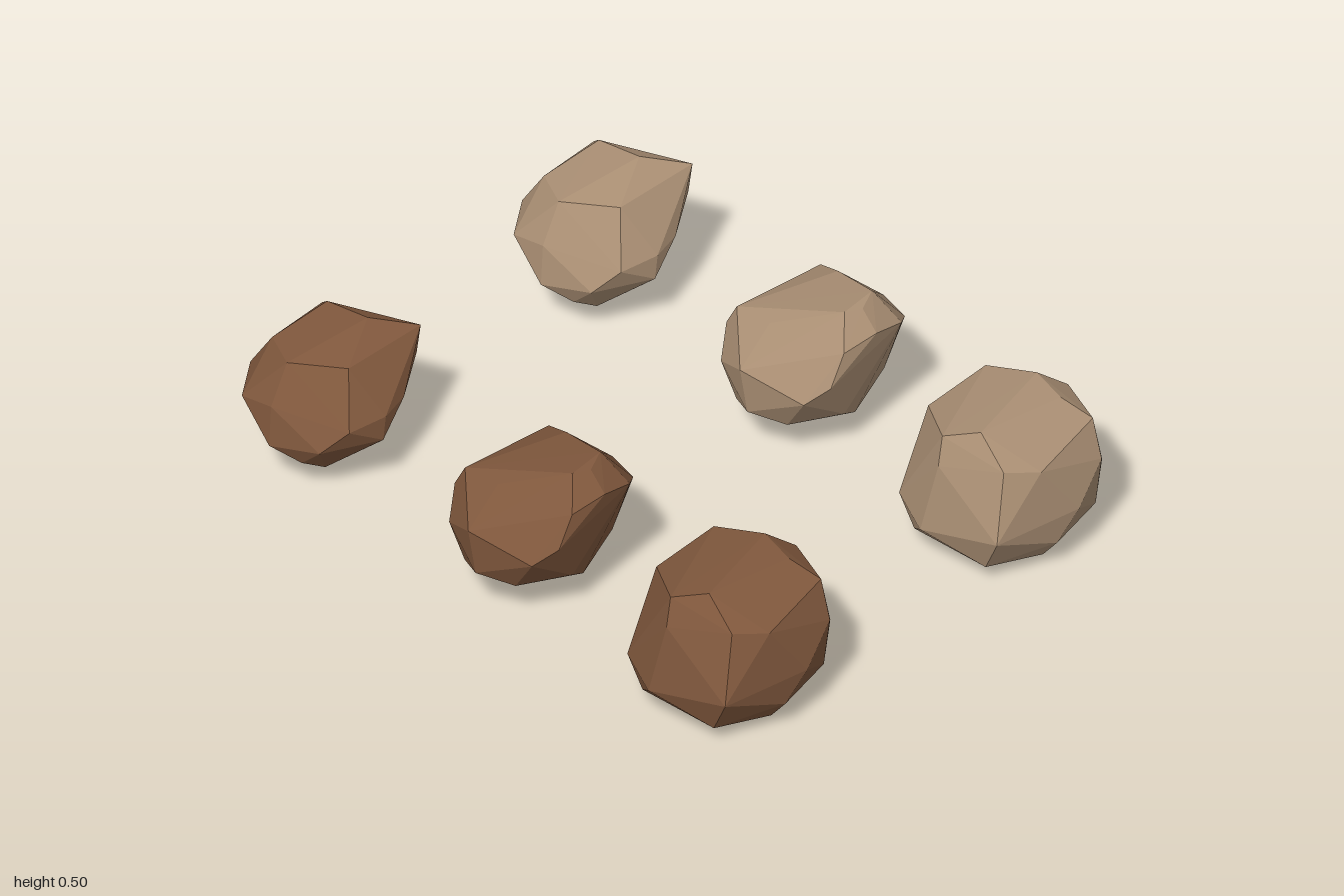
import * as THREE from 'three';
import { ConvexGeometry } from 'three/addons/geometries/ConvexGeometry.js';

// Corner points [x, y, z] of the three faceted boulders, in the front row
const ROCKS = {
  roundRock: [
    [-.63, .43, .335], [-.72, .467, .45], [-.88, .435, .45], [-.95, .365, .40], [-1, .26, .49],
    [-.985, .27, .64], [-.975, .17, .5], [-.91, .25, .745], [-.78, .16, .767], [-.79, .28, .75],
    [-.62, .2, .73], [-.565, .27, .67], [-.545, .275, .55], [-.545, .2, .56], [-.57, .28, .457],
    [-.708, .26, .275], [-.815, .25, .28], [-.94, .2, .37], [-.61, .13, .5], [-.72, .045, .5],
    [-.9, .067, .5], [-.87, .09, .67], [-.67, .09, .66], [-.72, .1, .35], [-.8, .39, .68],
    [-.64, .415, .6], [-.92, .38, .62], [-.87, .12, .36], [-.7, .12, .72],
  ],
  slopedRock: [
    [-.18, .27, .58], [-.15, .33, .67], [-.12, .395, .66], [-.1, .39, .36], [-.13, .28, .35],
    [.01, .45, .4], [.035, .3, .25], [.18, .495, .435], [.21, .485, .5], [.19, .488, .55],
    [.01, .41, .66], [.265, .43, .5], [.25, .41, .61], [.25, .4, .39], [.18, .34, .31],
    [.255, .32, .665], [.21, .27, .725], [.02, .318, .783], [-.11, .25, .73], [-.15, .18, .6],
    [.2, .147, .56], [.18, .11, .5], [0, .056, .63], [-.1, .11, .55], [.1, .08, .45],
    [.05, .15, .29], [-.1, .15, .38], [.15, .17, .36], [-.08, .12, .7], [.12, .14, .7],
    [.03, .17, .765],
  ],
  blockyRock: [
    [.51, .2, .5], [.525, .36, .4], [.57, .425, .38], [.735, .473, .345], [.845, .456, .36],
    [.93, .41, .32], [.965, .365, .55], [1, .2, .44], [.975, .1, .5], [.92, .03, .5],
    [.815, 0, .55], [.675, .013, .55], [.535, .056, .45], [.585, .3, .255], [.765, .4, .255],
    [.93, .25, .285], [.975, .3, .33], [.91, .38, .64], [.945, .18, .7], [.735, .35, .72],
    [.7, .13, .755], [.55, .14, .69], [.53, .36, .56], [.72, .43, .69], [.81, .46, .63],
    [.59, .2, .265], [.6, .08, .29], [.92, .1, .3], [.75, .06, .31], [.88, .06, .68],
    [.62, .06, .7],
  ],
};

const ROW_OFFSET = -1.035; // distance from the front row to the back row

function makeMaterial(name, color) {
  const material = new THREE.MeshStandardMaterial({ color });
  material.name = name;
  return material;
}

export function createModel() {
  const model = new THREE.Group();
  model.name = 'rockSet';

  // Same three rocks twice: brown in front, tan behind
  const rows = [
    { name: 'brown', material: makeMaterial('brownStone', 0x80583d), z: 0 },
    { name: 'tan', material: makeMaterial('tanStone', 0xa98e73), z: ROW_OFFSET },
  ];

  for (const [rockName, corners] of Object.entries(ROCKS)) {
    const geometry = new ConvexGeometry(corners.map((p) => new THREE.Vector3(...p)));
    // Move the origin of each rock to the middle of its base
    geometry.computeBoundingBox();
    const centre = geometry.boundingBox.getCenter(new THREE.Vector3());
    geometry.translate(-centre.x, 0, -centre.z);

    for (const row of rows) {
      const rock = new THREE.Mesh(geometry, row.material);
      rock.name = `${row.name} ${rockName}`;
      rock.position.set(centre.x, 0, centre.z + row.z);
      model.add(rock);
    }
  }
  return model;
}
